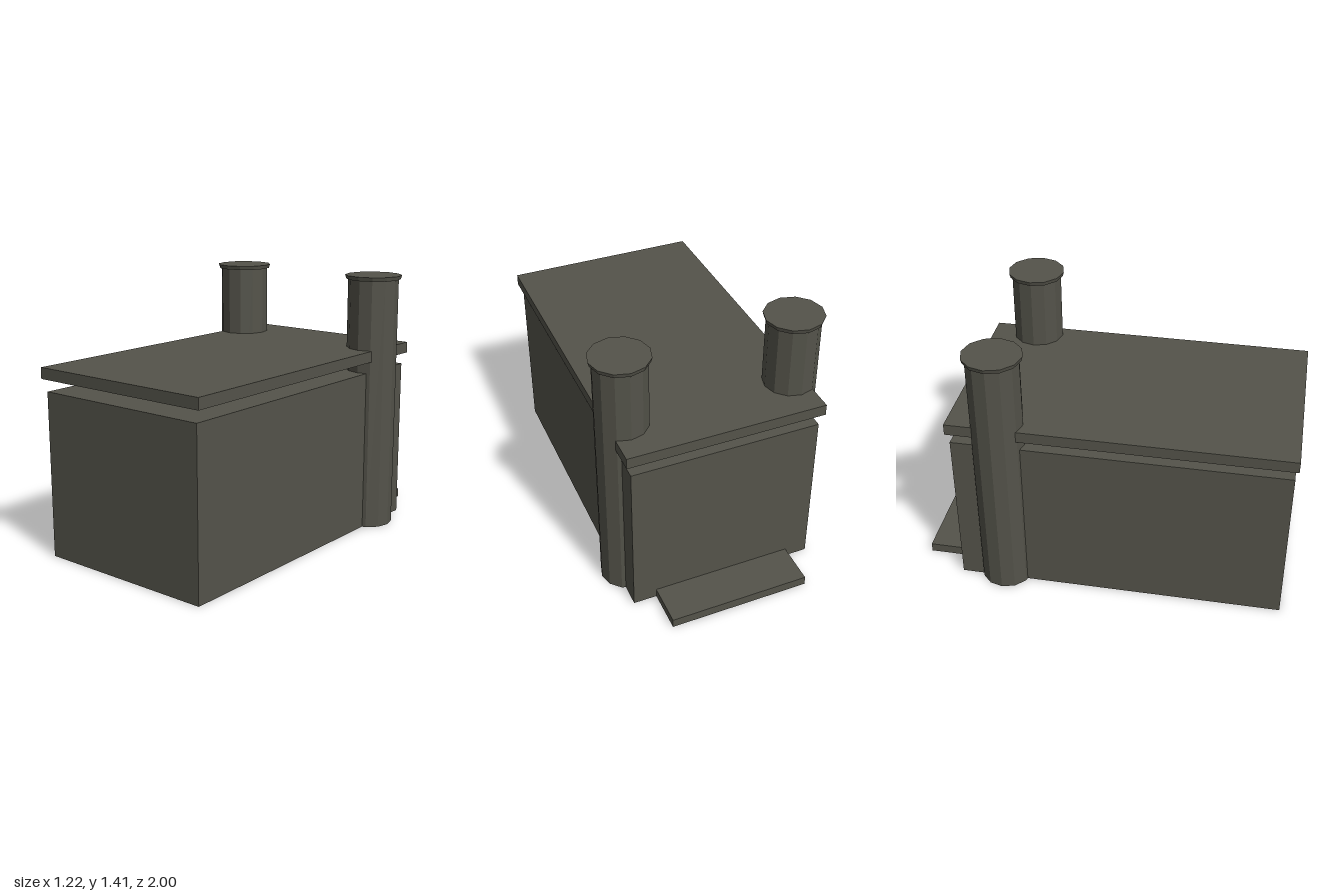
import * as THREE from 'three';

export function createModel() {
  const group = new THREE.Group();
  const stone = new THREE.MeshStandardMaterial({ color: 0x54534a, flatShading: true });
  stone.name = 'dark stone';

  const add = (name, geometry, x, y, z) => {
    const mesh = new THREE.Mesh(geometry, stone);
    mesh.name = name;
    mesh.position.set(x, y, z);
    group.add(mesh);
  };
  // Box given by its half width and its y and z ranges
  const block = (name, halfX, y0, y1, z0, z1) =>
    add(name, new THREE.BoxGeometry(halfX * 2, y1 - y0, z1 - z0), 0, (y0 + y1) / 2, (z0 + z1) / 2);

  block('body', 0.505, 0, 0.885, -0.775, 0.985);
  // Slab floating just above the body
  block('roofSlab', 0.53, 0.95, 1.01, -0.79, 1);
  block('backStep', 0.38, 0, 0.05, -1, -0.775);

  // Twelve-sided side columns with slightly flared caps
  for (const [side, s] of [['left', 1], ['right', -1]]) {
    add(side + 'Column', new THREE.CylinderGeometry(0.138, 0.138, 1.39, 12), s * 0.456, 0.695, -0.53);
    add(side + 'ColumnCap', new THREE.CylinderGeometry(0.155, 0.149, 0.022, 12), s * 0.456, 1.4, -0.53);
  }
  return group;
}
